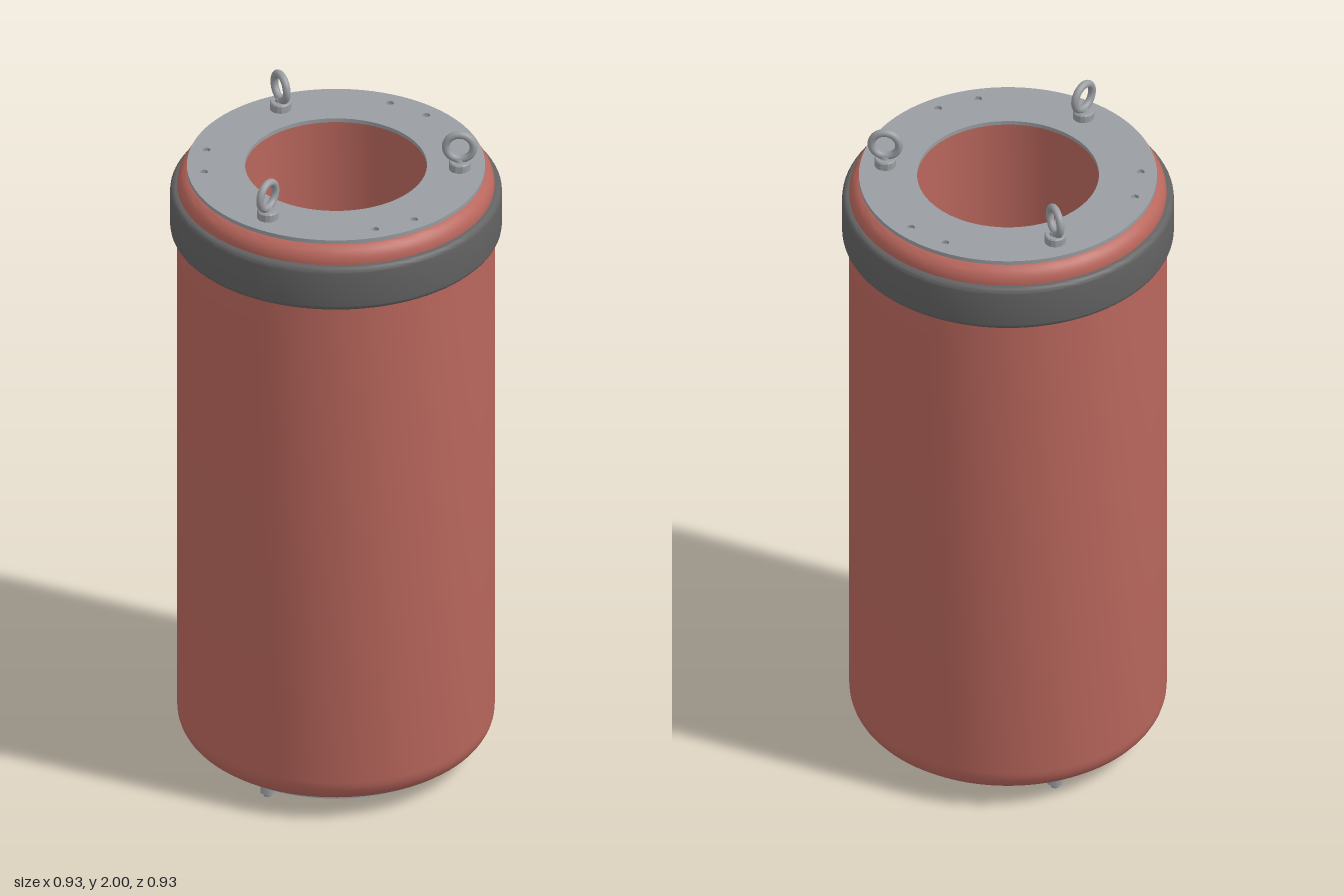
import * as THREE from 'three';
import { toCreasedNormals } from 'three/addons/utils/BufferGeometryUtils.js';

const SEG = 96;

export function createModel() {
  const model = new THREE.Group();
  model.name = 'cylindricalMount';

  const material = (name, color) => {
    const m = new THREE.MeshStandardMaterial({ color });
    m.name = name;
    return m;
  };
  const red = material('redRubber', 0xb8665c);
  const steel = material('steelGrey', 0x9a9da1);
  const dark = material('darkGrey', 0x626262);

  const add = (name, geometry, mat, parent = model) => {
    const mesh = new THREE.Mesh(geometry, mat);
    mesh.name = name;
    parent.add(mesh);
    return mesh;
  };
  const lathe = (points) => toCreasedNormals(
    new THREE.LatheGeometry(points.map(([x, y]) => new THREE.Vector2(x, y)), SEG), 0.6);

  // Quarter-round profile points between two angles
  const arc = (cx, cy, rx, ry, from, to, n = 8) => Array.from({ length: n + 1 }, (_, i) => {
    const a = THREE.MathUtils.degToRad(from + (to - from) * i / n);
    return [cx + rx * Math.cos(a), cy + ry * Math.sin(a)];
  });
  const polar = (r, deg) => {
    const a = THREE.MathUtils.degToRad(deg);
    return [r * Math.cos(a), r * Math.sin(a)];
  };

  // Round-shouldered body with a deep central bore
  add('body', lathe([
    [0, 0.05],
    ...arc(0.365, 0.13, 0.08, 0.08, -90, 0),
    ...arc(0.395, 1.818, 0.05, 0.05, 0, 90),
    [0.256, 1.868], [0.256, 0.1], [0, 0.1],
  ]), red);

  // Thick clamping band near the top
  add('band', lathe([
    [0.44, 1.675],
    ...arc(0.447, 1.693, 0.018, 0.018, -90, 0, 5),
    ...arc(0.447, 1.797, 0.018, 0.018, 0, 90, 5),
    [0.44, 1.815],
  ]), dark);

  // Flat round plate with drilled holes, lying on height y
  const plate = (name, radius, y, thickness, bore, holes, holeRadius) => {
    const shape = new THREE.Shape().absarc(0, 0, radius, 0, Math.PI * 2, false);
    const drill = (x, z, r) => shape.holes.push(new THREE.Path().absarc(x, -z, r, 0, Math.PI * 2, true));
    if (bore) drill(0, 0, bore);
    holes.forEach(([x, z]) => drill(x, z, holeRadius));
    const geometry = new THREE.ExtrudeGeometry(shape,
      { depth: thickness, bevelEnabled: false, curveSegments: 48 });
    geometry.rotateX(-Math.PI / 2).translate(0, y, 0);
    add(name, toCreasedNormals(geometry, 0.6), steel);
  };

  // Top ring: three pairs of holes between the eye bolts
  const topHoles = [30, 150, 270].flatMap((a) => [polar(0.372, a - 9.4), polar(0.372, a + 9.4)]);
  plate('topPlate', 0.418, 1.868, 0.012, 0.255, topHoles, 0.011);
  topHoles.forEach(([x, z]) => {
    const floor = new THREE.CylinderGeometry(0.011, 0.011, 0.002, 16);
    add('topHoleFloor', floor, steel).position.set(x, 1.8685, z);
  });

  // Base disc: a circle of six small holes
  const baseHoles = [0, 60, 120, 180, 240, 300].map((a) => polar(0.13, a));
  plate('basePlate', 0.37, 0.036, 0.014, 0, baseHoles, 0.009);
  baseHoles.forEach(([x, z]) => {
    const floor = new THREE.CylinderGeometry(0.009, 0.009, 0.002, 16);
    add('baseHoleFloor', floor, steel).position.set(x, 0.0495, z);
  });

  // Lifting eyes on top and bolts below, every 120 degrees
  for (const angle of [90, 210, 330]) {
    const [x, z] = polar(0.347, angle);

    const eye = new THREE.Group();
    eye.name = 'eyeBolt';
    eye.position.set(x, 1.88, z);
    eye.rotation.y = -THREE.MathUtils.degToRad(angle);
    model.add(eye);
    add('eyeCollar', lathe([[0, 0], [0.03, 0], [0.03, 0.021], [0.027, 0.025], [0, 0.025]]), steel, eye);
    add('eyeNeck', new THREE.CylinderGeometry(0.013, 0.017, 0.012, 24), steel, eye).position.y = 0.027;
    add('eyeRing', new THREE.TorusGeometry(0.039, 0.011, 16, 48), steel, eye).position.y = 0.07;

    const bolt = new THREE.Group();
    bolt.name = 'baseBolt';
    bolt.position.set(x, 0, z);
    bolt.rotation.y = -THREE.MathUtils.degToRad(angle);
    model.add(bolt);
    add('nut', new THREE.CylinderGeometry(0.023, 0.023, 0.024, 6), steel, bolt).position.y = 0.024;
    add('boltTip', new THREE.CylinderGeometry(0.014, 0.012, 0.014, 24), steel, bolt).position.y = 0.007;
  }

  return model;
}
